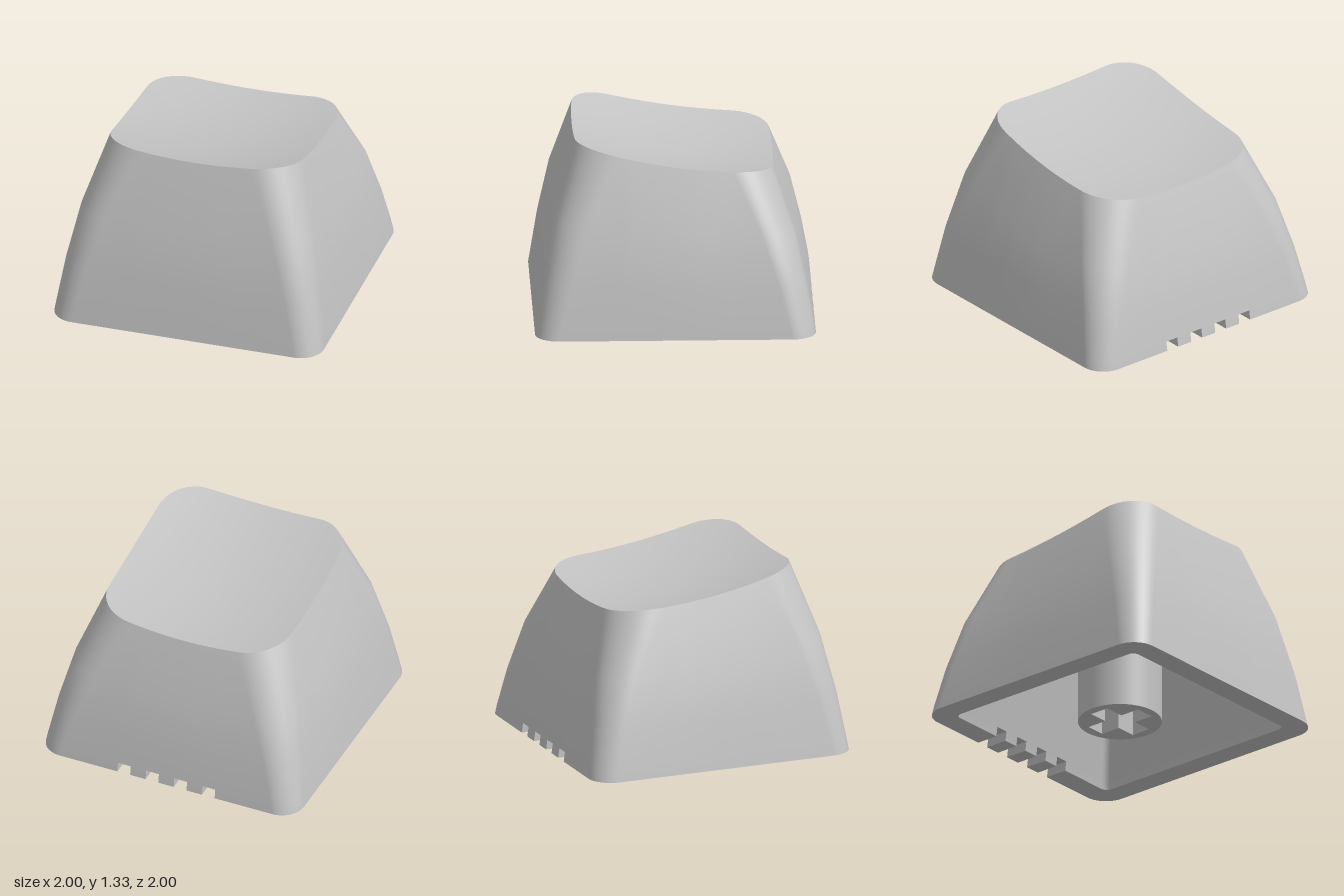
import * as THREE from 'three';

const NOTCH_EDGES = [-0.38, -0.28, -0.16, -0.06, 0.06, 0.16, 0.28, 0.38];
const ARC = 10;
const PER_SIDE = NOTCH_EDGES.length + ARC + 1;
const NOTCH_Y = 0.07;
const CEILING_Y = 0.95;

// Height of the dished, tilted top surface
const dish = (x, z) => 1.135 + 0.148 * z + 0.13 * (x * x + z * z);

// Rounded square loop: front side, then the corner towards +x, and so on round
function loop(half, r, y, bulge = 0) {
  const quarter = NOTCH_EDGES.map(s => [s, half + bulge * (1 - (s / 0.42) ** 2)]);
  for (let i = 0; i <= ARC; i++) {
    const a = (i / ARC) * Math.PI / 2;
    quarter.push([half - r + r * Math.sin(a), half - r + r * Math.cos(a)]);
  }
  const points = [];
  for (let side = 0; side < 4; side++) {
    for (const [px, pz] of quarter) {
      let x = px, z = pz;
      for (let k = 0; k < side; k++) [x, z] = [z, -x];
      points.push(new THREE.Vector3(x, y, z));
    }
  }
  return points;
}

// Columns of the back side that fall in a notch
function isNotch(i) {
  const j = i - 2 * PER_SIDE;
  return j >= 0 && j < NOTCH_EDGES.length && j % 2 === 0;
}

// Surface through a list of closed loops; keep(row, column) can leave quads out
function skin(rings, keep = () => true) {
  const n = rings[0].length;
  const index = [];
  for (let r = 0; r < rings.length - 1; r++) {
    for (let i = 0; i < n; i++) {
      if (!keep(r, i)) continue;
      const a = r * n + i, b = r * n + (i + 1) % n;
      index.push(a, b, b + n, a, b + n, a + n);
    }
  }
  const g = new THREE.BufferGeometry().setFromPoints(rings.flat());
  g.setIndex(index);
  g.computeVertexNormals();
  return g;
}

export function createModel() {
  const group = new THREE.Group();
  const plastic = new THREE.MeshStandardMaterial({ color: 0xc4c4c4 });
  plastic.name = 'grey plastic';
  const add = (name, geometry, parent = group) => {
    const mesh = new THREE.Mesh(geometry, plastic);
    mesh.name = name;
    parent.add(mesh);
    return mesh;
  };

  // Outer loops: the upper ones follow the tilt of the top edge
  const rim = loop(0.705, 0.29, 0, 0.01);
  rim.forEach(p => { p.y = dish(p.x, p.z); });
  const tilted = (half, r, t) => {
    const ring = loop(half, r, 0, 0.01 * t);
    ring.forEach((p, i) => { p.y = t * rim[i].y; });
    return ring;
  };
  const outer0 = loop(1, 0.17, 0);
  const outer1 = loop(0.99, 0.175, NOTCH_Y);
  const notInBand = (r, i) => r > 0 || !isNotch(i);
  add('outerWalls', skin([outer0, outer1, tilted(0.94, 0.2, 0.31), tilted(0.86, 0.24, 0.62), rim], notInBand));

  // Dished top, in rings shrinking to the middle
  const topRings = [];
  for (let k = 0; k <= 12; k++) {
    const s = Math.max(1 - k / 12, 0.001);
    topRings.push(rim.map(p => new THREE.Vector3(p.x * s, dish(p.x * s, p.z * s), p.z * s)));
  }
  add('dishedTop', skin(topRings));

  // Hollow inside and bottom edge
  const inner0 = loop(0.83, 0.05, 0);
  const inner1 = loop(0.82, 0.05, NOTCH_Y);
  const innerTop = loop(0.66, 0.05, CEILING_Y);
  add('innerWalls', skin([innerTop, inner1, inner0], (r, i) => r < 1 || !isNotch(i)));
  add('innerCeiling', skin([innerTop.map(() => new THREE.Vector3(0, CEILING_Y, 0)), innerTop]));
  add('bottomEdge', skin([inner0, outer0], (r, i) => !isNotch(i)));

  // Four notches through the back edge: roofs, then pairs of side faces
  const notches = new THREE.Group();
  notches.name = 'backNotches';
  group.add(notches);
  add('notchRoofs', skin([inner1, outer1], (r, i) => isNotch(i)), notches);
  const sides = [];
  for (let j = 0; j < NOTCH_EDGES.length; j++) {
    const i = 2 * PER_SIDE + j;
    const q = [inner0[i], inner1[i], outer1[i], outer0[i]];
    if (j % 2) q.reverse();
    sides.push(q[0], q[1], q[2], q[0], q[2], q[3]);
  }
  const sideGeometry = new THREE.BufferGeometry().setFromPoints(sides);
  sideGeometry.computeVertexNormals();
  add('notchSides', sideGeometry, notches);

  // Mounting stem with a cross-shaped socket
  const stem = new THREE.Group();
  stem.name = 'stem';
  group.add(stem);
  add('stemTube', new THREE.CylinderGeometry(0.3, 0.3, CEILING_Y, 48, 1, true), stem).position.y = CEILING_Y / 2;
  const tip = new THREE.Shape().absarc(0, 0, 0.299, 0, Math.PI * 2, false);
  const l = 0.23, w = 0.075;
  const cross = [[w, l], [w, w], [l, w], [l, -w], [w, -w], [w, -l], [-w, -l], [-w, -w], [-l, -w], [-l, w], [-w, w], [-w, l]];
  tip.holes.push(new THREE.Path(cross.map(([x, y]) => new THREE.Vector2(x, y))));
  const socket = new THREE.ExtrudeGeometry(tip, { depth: 0.45, bevelEnabled: false, curveSegments: 24 });
  add('crossSocket', socket.rotateX(-Math.PI / 2), stem);
  add('socketEnd', new THREE.CircleGeometry(0.299, 48).rotateX(Math.PI / 2), stem).position.y = 0.45;

  return group;
}
